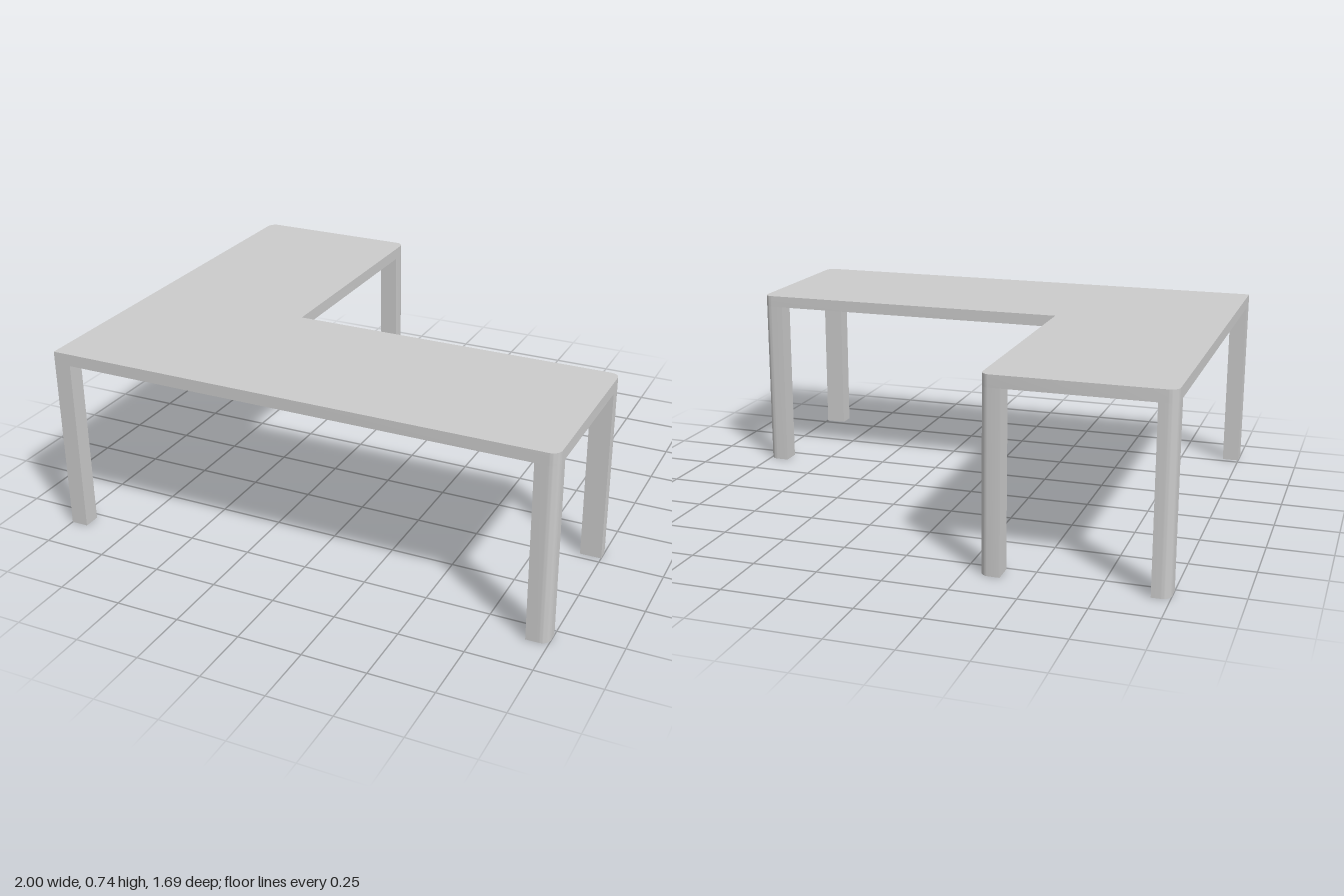
import * as THREE from 'three';
import { toCreasedNormals } from 'three/addons/utils/BufferGeometryUtils.js';

const HEIGHT = 0.742, UNDERSIDE = 0.695, DEPTH = 0.843, RADIUS = 0.035;

// Vertical prism from plan corners [x, z, rounded]
function prism(name, corners, y0, y1, material) {
  const points = corners.map(([x, z]) => new THREE.Vector2(x, -z));
  if (THREE.ShapeUtils.area(points) < 0) {
    points.reverse();
    corners = [...corners].reverse();
  }
  const shape = new THREE.Shape();
  const n = points.length;
  points.forEach((p, i) => {
    const r = corners[i][2] ? RADIUS : 0;
    // Point at distance d from this corner towards a neighbour
    const towards = (q, d) => p.clone().add(q.clone().sub(p).setLength(d));
    const prev = points[(i + n - 1) % n], next = points[(i + 1) % n];
    const a = r ? towards(prev, r) : p;
    if (i === 0) shape.moveTo(a.x, a.y);
    else shape.lineTo(a.x, a.y);
    if (r) {
      const c1 = towards(prev, r * 0.448), c2 = towards(next, r * 0.448), b = towards(next, r);
      shape.bezierCurveTo(c1.x, c1.y, c2.x, c2.y, b.x, b.y);
    }
  });
  shape.closePath();
  const geometry = new THREE.ExtrudeGeometry(shape, { depth: y1 - y0, bevelEnabled: false, curveSegments: 10 });
  geometry.rotateX(-Math.PI / 2).translate(0, y0, 0);
  const mesh = new THREE.Mesh(toCreasedNormals(geometry, 0.5), material);
  mesh.name = name;
  return mesh;
}

export function createModel() {
  const group = new THREE.Group();
  group.name = 'cornerDesk';
  const material = new THREE.MeshStandardMaterial({ color: 0xcccccc });
  const innerX = -0.312, innerZ = 0.146;

  // L-shaped top with rounded ends
  group.add(prism('deskTop', [
    [-1, DEPTH, false], [1, DEPTH, true], [1, innerZ, true],
    [innerX, innerZ, false], [innerX, -DEPTH, true], [-1, -DEPTH, true],
  ], UNDERSIDE, HEIGHT, material));

  // Legs: outer corner x, z, signed size inwards, rounded outer corner
  const legs = [
    ['cornerLeg', -1, DEPTH, 0.068, -0.068, false],
    ['frontLeftLeg', 1, DEPTH, -0.084, -0.068, true],
    ['innerLeftLeg', 1, innerZ, -0.084, 0.075, true],
    ['backInnerLeg', innerX, -DEPTH, -0.077, 0.082, true],
    ['backRightLeg', -1, -DEPTH, 0.068, 0.082, true],
  ];
  for (const [name, x, z, dx, dz, round] of legs) {
    group.add(prism(name, [
      [x, z, round], [x + dx, z, false], [x + dx, z + dz, false], [x, z + dz, false],
    ], 0, UNDERSIDE, material));
  }
  return group;
}
